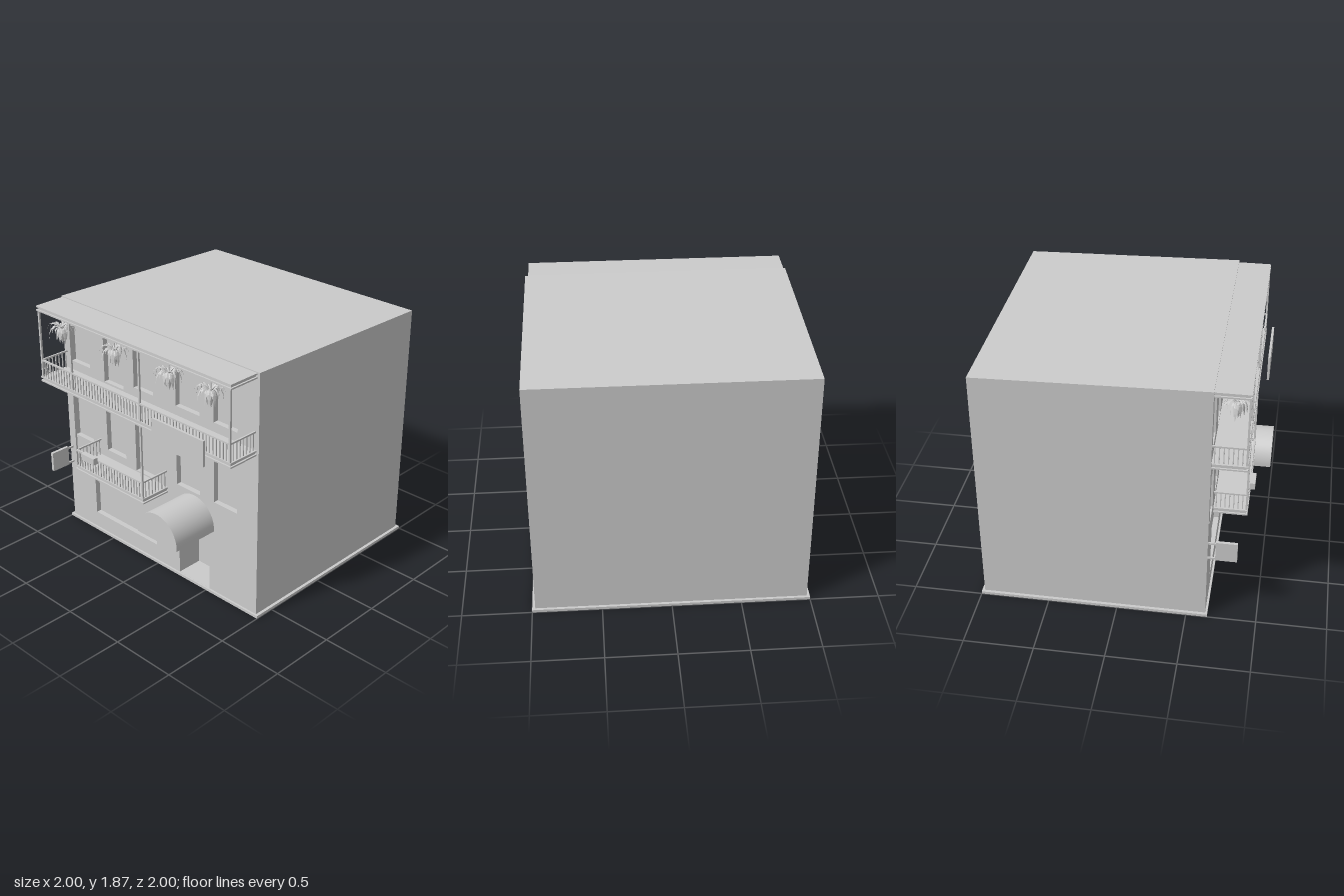
import * as THREE from 'three';
import { mergeGeometries } from 'three/addons/utils/BufferGeometryUtils.js';

const grey = new THREE.MeshStandardMaterial({ color: 0xcccccc, flatShading: true });
const smooth = new THREE.MeshStandardMaterial({ color: 0xcccccc });
const leafMat = new THREE.MeshStandardMaterial({ color: 0xcccccc, side: THREE.DoubleSide, flatShading: true });

const FRONT = 0.637, BACK = -0.98, HALF = 0.978, EDGE = 0.88;
const roofY = z => 1.865 - 0.038 * (FRONT - z) / (FRONT - BACK);

// Box geometry from its limits
function box(x0, x1, y0, y1, z0, z1) {
  return new THREE.BoxGeometry(x1 - x0, y1 - y0, z1 - z0)
    .translate((x0 + x1) / 2, (y0 + y1) / 2, (z0 + z1) / 2);
}
function add(parent, name, geometry, material = grey) {
  const mesh = new THREE.Mesh(geometry, material);
  mesh.name = name;
  parent.add(mesh);
  return mesh;
}

// Openings in the front wall: x0, x1, y0, y1, depth
const columns = [[-0.9, -0.695], [-0.535, -0.33], [-0.22, -0.02], [0.205, 0.435], [0.57, 0.79]];
const openings = [
  ...columns.map(([a, b], i) => [a, b, i === 2 ? 0.705 : 0.757, 1.148, 0.04]),
  ...columns.map(([a, b], i) => [a, b, i === 1 ? 1.32 : 1.375, 1.752, 0.04]),
  [-0.7, -0.02, 0.148, 0.575, 0.04],
  [0.22, 0.525, 0.021, 0.56, 0.2],
];

function buildHouse(root) {
  const house = new THREE.Group();
  house.name = 'house';
  root.add(house);
  const wallDepth = 0.2;

  // Front wall with openings; its top follows the roof slope
  const wall = new THREE.Shape([[-HALF, 0], [HALF, 0], [HALF, 1.865], [-HALF, 1.865]]
    .map(p => new THREE.Vector2(...p)));
  for (const [a, b, c, d] of openings) {
    wall.holes.push(new THREE.Path([[a, c], [a, d], [b, d], [b, c]].map(p => new THREE.Vector2(...p))));
  }
  const wallGeo = new THREE.ExtrudeGeometry(wall, { depth: wallDepth, bevelEnabled: false });
  wallGeo.translate(0, 0, FRONT - wallDepth);
  const slope = geo => {
    const p = geo.attributes.position;
    for (let i = 0; i < p.count; i++) if (p.getY(i) > 1.8) p.setY(i, roofY(p.getZ(i)));
    geo.computeVertexNormals();
    return geo;
  };
  add(house, 'frontWall', slope(wallGeo));
  add(house, 'mainBlock', slope(box(-HALF, HALF, 0, 1.865, BACK, FRONT - wallDepth)));
  add(house, 'plinth', box(-1, 1, 0, 0.02, -1, 0.652));

  // Panes at the back of each opening
  openings.forEach(([a, b, c, d, depth], i) => {
    const z = FRONT - depth;
    add(house, i === openings.length - 1 ? 'door' : 'windowPane', box(a, b, c, d, z - 0.01, z));
  });
}

// Moulded slab: wide lips above and below a narrower core
function slab(parent, name, x0, x1, y0, y1) {
  const lip = 0.011, inset = 0.012;
  add(parent, name, mergeGeometries([
    box(x0, x1, y1 - lip, y1, FRONT, EDGE),
    box(x0 + inset, x1 - inset, y0 + lip, y1 - lip, FRONT, EDGE - inset),
    box(x0, x1, y0, y0 + lip, FRONT, EDGE),
  ]));
}

// Handrail and balusters around three sides
function railing(parent, x0, x1, y0, y1, count) {
  const z = 0.872, w = 0.0035, h = 0.006;
  add(parent, 'handrail', mergeGeometries([
    box(x0 - h, x1 + h, y1 - 0.012, y1, z - h, z + h),
    box(x0 - h, x0 + h, y1 - 0.012, y1, FRONT, z - h),
    box(x1 - h, x1 + h, y1 - 0.012, y1, FRONT, z - h),
  ]));
  const bars = [];
  const bar = (x, zz) => bars.push(box(x - w, x + w, y0, y1 - 0.012, zz - w, zz + w));
  for (let i = 0; i <= count; i++) bar(x0 + (x1 - x0) * i / count, z);
  for (let i = 1; i <= 7; i++) for (const x of [x0, x1]) bar(x, z - i * 0.031);
  add(parent, 'balusters', mergeGeometries(bars));
}

function posts(parent, xs, y0, y1) {
  for (const x of xs) add(parent, 'post', box(x - 0.007, x + 0.007, y0, y1, 0.864, 0.878));
}

// One leaf: a ribbon along an arching path, folded at its midrib
function leaf(angle, reach, rise, drop, width) {
  const pos = [], idx = [], n = 5;
  const c = Math.cos(angle), s = Math.sin(angle);
  for (let i = 0; i <= n; i++) {
    const t = i / n;
    const r = 0.008 + reach * Math.sin(t * 1.45);
    const y = rise * Math.sin(t * Math.PI * 0.75) - drop * t * t;
    const w = width * Math.sin(Math.PI * (0.12 + 0.88 * t));
    for (const k of [-1, 0, 1]) {
      pos.push(r * c - k * w * s, y + (k === 0 ? 0 : -w * 0.4), r * s + k * w * c);
    }
    if (i < n) for (const k of [0, 1]) {
      const a = i * 3 + k;
      idx.push(a, a + 1, a + 3, a + 1, a + 4, a + 3);
    }
  }
  const g = new THREE.BufferGeometry();
  g.setAttribute('position', new THREE.Float32BufferAttribute(pos, 3));
  g.setIndex(idx);
  g.computeVertexNormals();
  return g;
}

function hangingPlant(x) {
  const plant = new THREE.Group();
  plant.name = 'hangingPlant';
  let seed = 7;
  const rnd = () => (seed = (seed * 16807) % 2147483647) / 2147483647;
  const leaves = [];
  // Narrow arching leaves
  for (let i = 0; i < 24; i++) {
    leaves.push(leaf(i * 2.4, 0.07 + 0.04 * rnd(), 0.03 + 0.04 * rnd(), 0.01 + 0.1 * rnd(), 0.007));
  }
  // Broad leaves hanging in the middle
  for (let i = 0; i < 8; i++) {
    leaves.push(leaf(i * 0.785 + 0.3, 0.02 + 0.03 * rnd(), 0.02, 0.1 + 0.05 * rnd(), 0.018));
  }
  add(plant, 'leaves', mergeGeometries(leaves), leafMat);
  add(plant, 'pot', new THREE.ConeGeometry(0.03, 0.12, 7).rotateX(Math.PI).translate(0, -0.07, 0));
  add(plant, 'cord', new THREE.CylinderGeometry(0.003, 0.003, 0.13, 6).translate(0, 0.06, 0));
  plant.position.set(x, 1.705, 0.785);
  return plant;
}

function buildCanopy(root) {
  // Solid half-round porch canopy with a short straight foot
  const shape = new THREE.Shape();
  const cx = 0.377, r = 0.193, y = 0.541;
  shape.moveTo(cx - r, 0.52);
  shape.lineTo(cx + r, 0.52);
  shape.lineTo(cx + r, y);
  shape.absarc(cx, y, r, 0, Math.PI, false);
  const geo = new THREE.ExtrudeGeometry(shape, { depth: 1 - FRONT, bevelEnabled: false, curveSegments: 32 });
  geo.translate(0, 0, FRONT);
  // Radial normals on the curved top
  const p = geo.attributes.position, n = geo.attributes.normal;
  for (let i = 0; i < p.count; i++) {
    if (Math.abs(n.getZ(i)) < 0.5 && n.getY(i) > -0.5 && p.getY(i) >= y - 1e-4) {
      n.setXYZ(i, (p.getX(i) - cx) / r, (p.getY(i) - y) / r, 0);
    }
  }
  add(root, 'doorCanopy', geo, smooth);
}

export function createModel() {
  const root = new THREE.Group();
  root.name = 'balconyHouse';
  buildHouse(root);

  // Upper gallery with its roof
  const upper = new THREE.Group();
  upper.name = 'upperBalcony';
  slab(upper, 'floorSlab', -0.968, 0.957, 1.265, 1.305);
  slab(upper, 'roofSlab', -0.968, 0.957, 1.82, 1.858);
  railing(upper, -0.95, 0.943, 1.305, 1.443, 62);
  posts(upper, [-0.95, -0.613, 0.1, 0.943], 1.305, 1.82);
  for (const x of [-0.805, -0.235, 0.305, 0.69]) upper.add(hangingPlant(x));
  root.add(upper);

  // Lower balcony
  const lower = new THREE.Group();
  lower.name = 'lowerBalcony';
  slab(lower, 'floorSlab', -0.628, 0.112, 0.652, 0.694);
  railing(lower, -0.61, 0.097, 0.694, 0.825, 24);
  posts(lower, [-0.613, 0.1], 0.694, 1.265);
  add(lower, 'planterBox', box(-0.505, -0.37, 0.795, 0.845, 0.876, 0.917));
  root.add(lower);

  buildCanopy(root);
  add(root, 'signBoard', box(0.288, 0.772, 1.232, 1.42, 0.925, 0.942));

  // Projecting sign on two wall brackets
  const sign = new THREE.Group();
  sign.name = 'hangingSign';
  add(sign, 'signPanel', box(-0.965, -0.942, 0.497, 0.65, 0.69, 0.842));
  for (const y of [0.505, 0.632]) add(sign, 'bracket', box(-0.96, -0.947, y - 0.007, y + 0.007, FRONT, 0.69));
  root.add(sign);
  return root;
}
